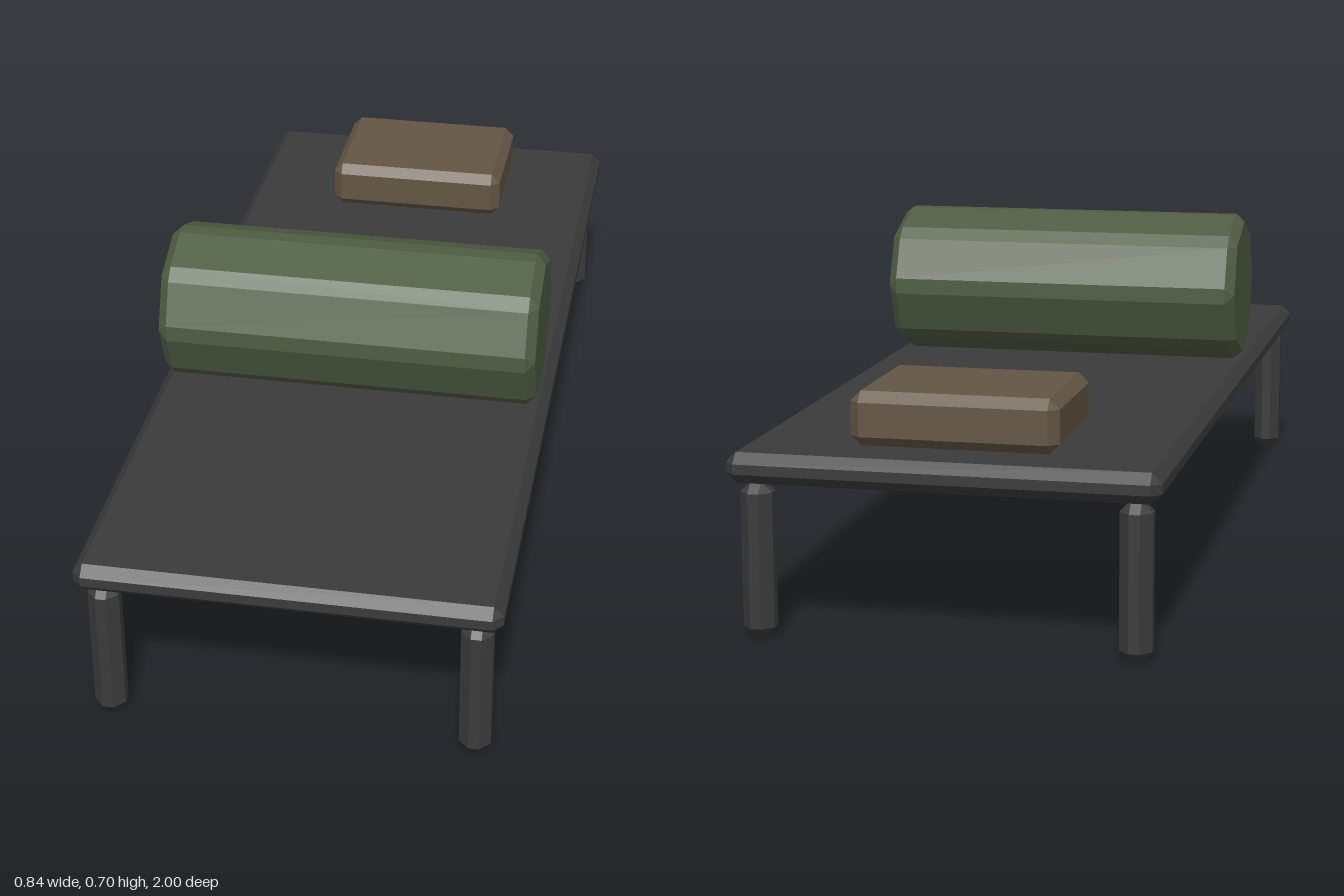
import * as THREE from 'three';
import { ConvexGeometry } from 'three/addons/geometries/ConvexGeometry.js';

function material(name, color) {
  const m = new THREE.MeshStandardMaterial({ color });
  m.name = name;
  return m;
}

// Box with every edge cut by a flat chamfer
function chamferBox(w, h, d, c) {
  const half = [w / 2, h / 2, d / 2];
  const points = [];
  for (const sx of [-1, 1]) for (const sy of [-1, 1]) for (const sz of [-1, 1]) {
    for (let axis = 0; axis < 3; axis++) {
      const [x, y, z] = half.map((v, i) => (i === axis ? v : v - c));
      points.push(new THREE.Vector3(sx * x, sy * y, sz * z));
    }
  }
  return new ConvexGeometry(points);
}

// Octagonal prism along x, with chamfered long edges and chamfered ends
function chamferRoll(length, radius, capRadius, c) {
  const points = [];
  const edgeHalfAngle = THREE.MathUtils.degToRad(6);
  for (const s of [-1, 1]) {
    for (let i = 0; i < 8; i++) {
      const a = (i * Math.PI) / 4;
      points.push(new THREE.Vector3(s * length / 2, capRadius * Math.cos(a), capRadius * Math.sin(a)));
      for (const da of [-edgeHalfAngle, edgeHalfAngle]) {
        points.push(new THREE.Vector3(
          s * (length / 2 - c), radius * Math.cos(a + da), radius * Math.sin(a + da)));
      }
    }
  }
  return new ConvexGeometry(points);
}

export function createModel() {
  const group = new THREE.Group();
  group.name = 'cot';

  const frameGrey = material('frame grey', 0x3b3b3b);
  const blanketGreen = material('blanket green', 0x4f5d43);
  const pillowBrown = material('pillow brown', 0x645644);

  const add = (name, geometry, mat, x, y, z) => {
    const mesh = new THREE.Mesh(geometry, mat);
    mesh.name = name;
    mesh.position.set(x, y, z);
    group.add(mesh);
  };

  // Bed deck
  add('deck', chamferBox(0.84, 0.06, 2, 0.02), frameGrey, 0, 0.338, 0);

  // Four legs
  const legGeometry = chamferBox(0.063, 0.308, 0.063, 0.021);
  for (const [side, x] of [['Left', 0.368], ['Right', -0.368]]) {
    for (const [end, z] of [['front', 0.95], ['back', -0.95]]) {
      add(`${end}${side}Leg`, legGeometry, frameGrey, x, 0.154, z);
    }
  }

  // Rolled blanket across the deck
  add('blanketRoll', chamferRoll(0.8, 0.166, 0.15, 0.02), blanketGreen, 0, 0.533, 0.21);

  // Pillow at the back end
  add('pillow', chamferBox(0.41, 0.107, 0.31, 0.02), pillowBrown, 0, 0.4215, -0.738);

  return group;
}
